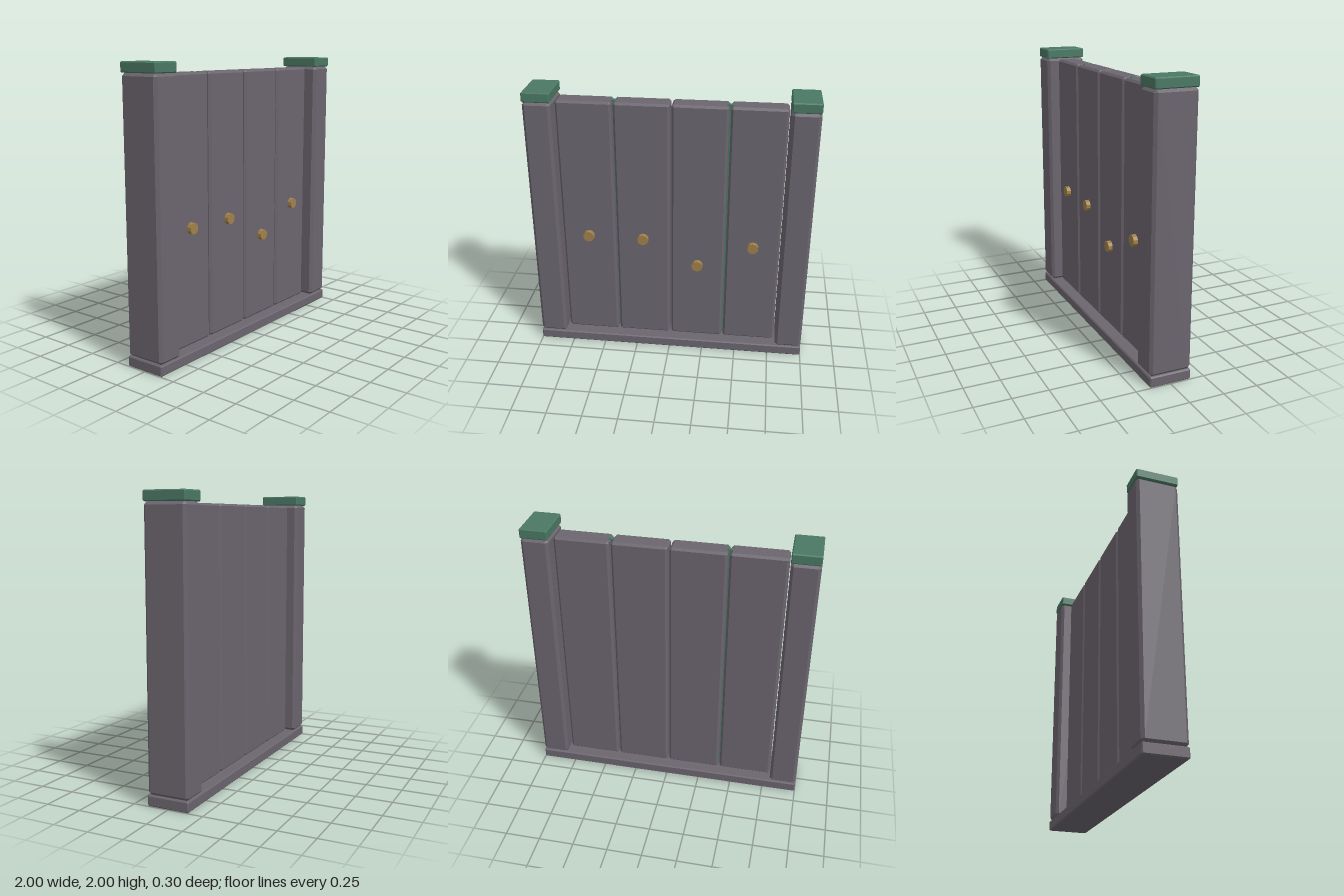
import * as THREE from 'three';
import { ConvexGeometry } from 'three/addons/geometries/ConvexGeometry.js';

const mat = (name, color) => new THREE.MeshStandardMaterial({ name, color });

// Box with flat chamfered edges, given by its size and chamfer width
function chamferBox(w, h, d, c) {
  const pts = [];
  for (const x of [-w / 2, w / 2]) for (const y of [-h / 2, h / 2]) for (const z of [-d / 2, d / 2]) {
    const ix = x - Math.sign(x) * c, iy = y - Math.sign(y) * c, iz = z - Math.sign(z) * c;
    pts.push(new THREE.Vector3(x, iy, iz), new THREE.Vector3(ix, y, iz), new THREE.Vector3(ix, iy, z));
  }
  return new ConvexGeometry(pts);
}

export function createModel() {
  const group = new THREE.Group();
  group.name = 'plankWall';
  const wood = mat('greyWood', 0x6b656e);
  const green = mat('greenPaint', 0x4a7864);
  const brass = mat('brass', 0xa08048);

  const add = (name, geometry, material, x, y, z) => {
    const mesh = new THREE.Mesh(geometry, material);
    mesh.name = name;
    mesh.position.set(x, y, z);
    group.add(mesh);
  };

  // Sill under everything
  add('baseSill', chamferBox(2, 0.075, 0.3, 0.008), wood, 0, 0.0375, 0);

  // End posts, caps and the strips that close the outer plank gaps
  const post = chamferBox(0.196, 1.855, 0.3, 0.02);
  const cap = chamferBox(0.196, 0.07, 0.3, 0.007);
  const strip = new THREE.BoxGeometry(0.045, 1.85, 0.03);
  for (const [side, s] of [['left', 1], ['right', -1]]) {
    add(side + 'Post', post, wood, s * 0.902, 1.0025, 0);
    add(side + 'Cap', cap, green, s * 0.902, 1.965, 0);
    add(side + 'GapStrip', strip, green, s * 0.4, 1.0, -0.003);
  }

  // Four planks, each with a faceted stud on the front
  const plank = chamferBox(0.387, 1.85, 0.145, 0.015);
  const stud = new THREE.CylinderGeometry(0.04, 0.042, 0.04, 10).toNonIndexed();
  stud.computeVertexNormals();
  stud.rotateX(Math.PI / 2);
  [0.9, 0.895, 0.7, 0.875].forEach((y, i) => {
    const x = -0.6 + i * 0.4;
    add('plank' + (i + 1), plank, wood, x, 1.0, -0.0035);
    add('stud' + (i + 1), stud, brass, x, y, 0.08);
  });

  return group;
}
